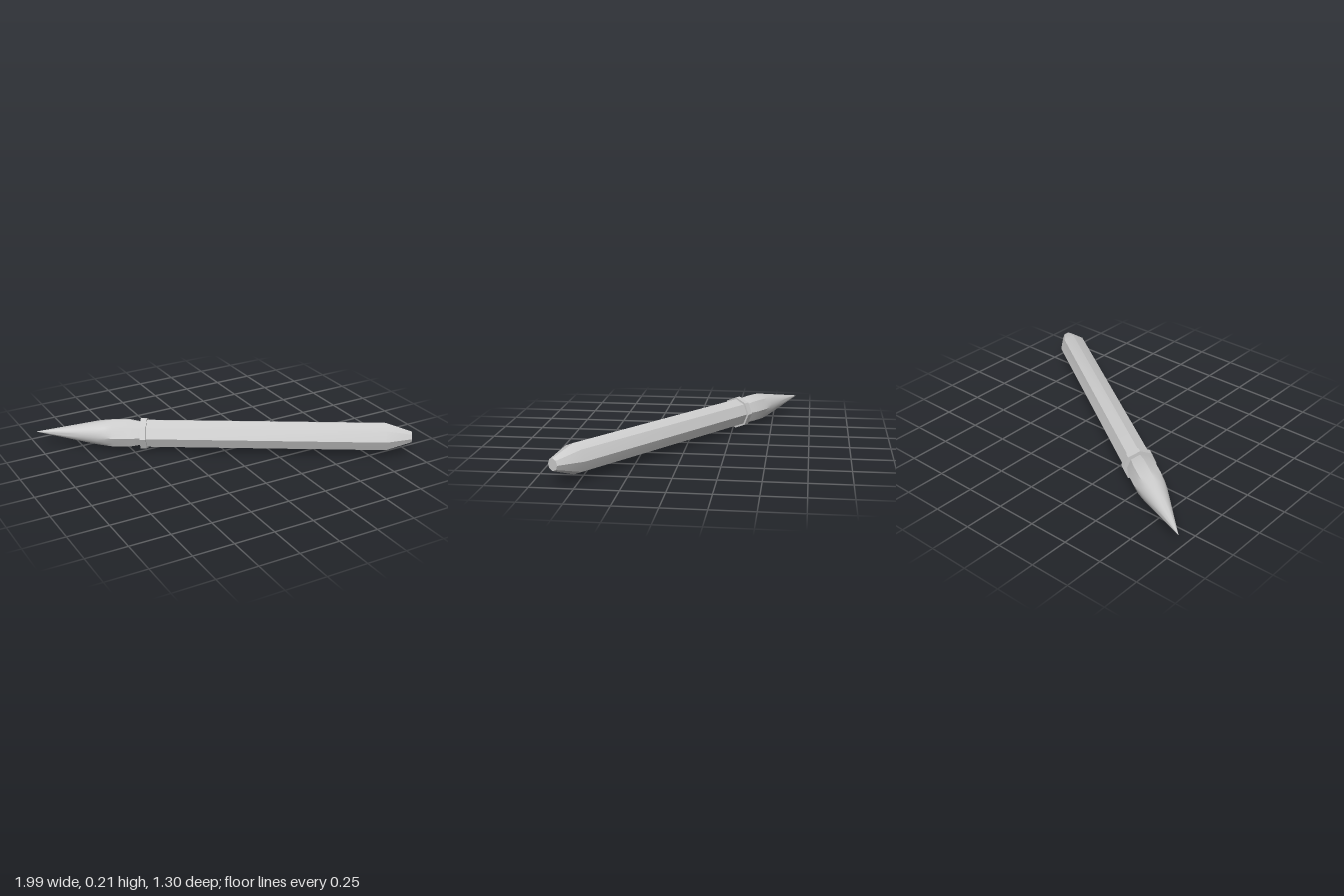
import * as THREE from 'three';
import { toCreasedNormals } from 'three/addons/utils/BufferGeometryUtils.js';

const material = new THREE.MeshStandardMaterial({ color: 0xcccccc });
const SIDES = 8;

// Revolves [radius, distance from tip] pairs around the pen's axis.
function revolve(profile, segments) {
  return new THREE.LatheGeometry(profile.map(([r, s]) => new THREE.Vector2(r, s)), segments);
}

function addPart(parent, name, geometry) {
  const mesh = new THREE.Mesh(toCreasedNormals(geometry, 0.5), material);
  mesh.name = name;
  parent.add(mesh);
}

// Squeezes a round section to an octagon; fades to round between two distances.
function octagonToRound(geometry, roundAt, octagonAt) {
  const p = geometry.attributes.position;
  const step = (2 * Math.PI) / SIDES;
  for (let i = 0; i < p.count; i++) {
    const x = p.getX(i), z = p.getZ(i);
    const angle = Math.atan2(x, z) + 2 * Math.PI;
    const flat = Math.cos(step / 2) / Math.cos((angle % step) - step / 2);
    const t = THREE.MathUtils.clamp((p.getY(i) - roundAt) / (octagonAt - roundAt), 0, 1);
    const k = THREE.MathUtils.lerp(1, flat, t);
    p.setX(i, x * k);
    p.setZ(i, z * k);
  }
  return geometry;
}

export function createModel() {
  const group = new THREE.Group();
  group.name = 'pen';
  const pen = new THREE.Group();
  pen.name = 'penAssembly';
  group.add(pen);

  // Pointed nib: a round cone that grows into an octagonal grip and a narrow neck
  const nib = revolve([
    [0, 0], [0.019, 0.1], [0.038, 0.2], [0.057, 0.3], [0.076, 0.4],
    [0.085, 0.45], [0.092, 0.5], [0.092, 0.6], [0.075, 0.685],
  ], 32);
  addPart(pen, 'nibAndGrip', octagonToRound(nib, 0.4, 0.5));

  // Raised octagonal collar
  addPart(pen, 'collar', revolve([
    [0, 0.672], [0.102, 0.672], [0.102, 0.71], [0, 0.71],
  ], SIDES));

  // Long octagonal barrel with a tapered, flat end
  addPart(pen, 'barrel', revolve([
    [0.09, 0.7], [0.09, 2.19], [0.036, 2.348], [0, 2.348],
  ], SIDES));

  // Lay the pen diagonally, tip at the back right, one octagon corner on top
  const tip = new THREE.Vector3(-1, 0.098, -0.652);
  const end = new THREE.Vector3(0.976, 0.13, 0.618);
  const axis = end.clone().sub(tip).normalize();
  const side = axis.clone().cross(new THREE.Vector3(0, 1, 0)).normalize();
  const up = side.clone().cross(axis);
  pen.quaternion.setFromRotationMatrix(new THREE.Matrix4().makeBasis(side, axis, up));
  pen.position.copy(tip);
  return group;
}
